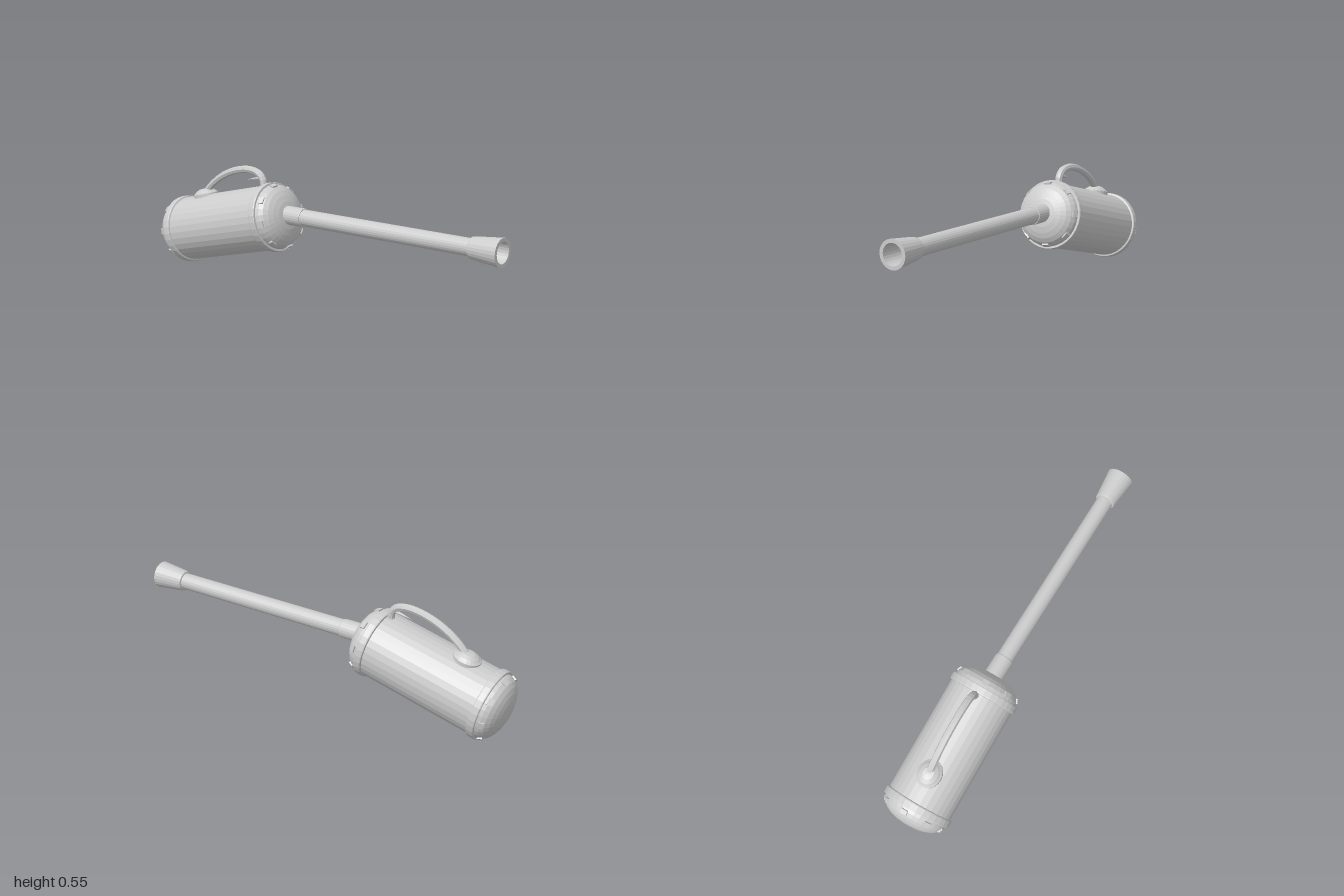
import * as THREE from 'three';

const SIDES = 32;
const material = new THREE.MeshStandardMaterial({ color: 0xcccccc, flatShading: true });

function part(name, geometry, parent) {
  const mesh = new THREE.Mesh(geometry, material);
  mesh.name = name;
  parent.add(mesh);
  return mesh;
}

// Turned part: profile of [radius, height], listed from bottom to top
function turned(profile, sides = SIDES) {
  return new THREE.LatheGeometry(profile.map(([r, y]) => new THREE.Vector2(r, y)), sides);
}

// End of the tank: rim band, dome and a ring of small lugs
function tankEnd(name) {
  const end = new THREE.Group();
  end.name = name;
  part('rim', turned([[0.16, 0.285], [0.171, 0.288], [0.173, 0.293], [0.173, 0.32], [0.171, 0.324], [0.157, 0.324]]), end);
  part('dome', turned([
    [0.162, 0.318], [0.157, 0.342], [0.145, 0.362], [0.125, 0.378],
    [0.1, 0.39], [0.07, 0.399], [0.035, 0.404], [0, 0.406],
  ]), end);
  for (let i = 0; i < 8; i++) {
    const pivot = new THREE.Group();
    pivot.rotation.y = (i / 8) * Math.PI * 2 + 0.1;
    const lug = part('lug', new THREE.BoxGeometry(0.014, 0.024, 0.034), pivot);
    lug.position.set(0.153, 0.347, 0);
    lug.rotation.z = 0.4;
    end.add(pivot);
  }
  return end;
}

export function createModel() {
  const model = new THREE.Group();
  model.name = 'sprayer';

  // Long straight tube with collar and open flared nozzle, running along z
  const lance = new THREE.Group();
  lance.name = 'lance';
  lance.position.y = 0.34;
  lance.rotation.x = Math.PI / 2;
  model.add(lance);
  part('tube', turned([[0.041, -0.25], [0.041, 0.87]], 24), lance);
  part('collar', turned([[0.046, -0.25], [0.046, -0.122], [0.044, -0.118], [0.04, -0.118]], 24), lance);
  part('nozzle', turned([
    [0.04, 0.842], [0.05, 0.845], [0.052, 0.855], [0.067, 1],
    [0.05, 1], [0.048, 0.87], [0, 0.87],
  ], 24), lance);

  // Tilted tank
  const tank = new THREE.Group();
  tank.name = 'tank';
  tank.position.set(0, 0.247, -0.605);
  tank.rotation.x = Math.PI / 2 - THREE.MathUtils.degToRad(13.4);
  model.add(tank);
  part('barrel', turned([[0.163, -0.31], [0.163, 0.31]]), tank);
  tank.add(tankEnd('frontEnd'));
  const back = tankEnd('backEnd');
  back.rotation.x = Math.PI;
  tank.add(back);

  // Boss where the handle meets the tank
  const boss = part('handleBoss', turned([
    [0.06, -0.02], [0.06, 0.006], [0.052, 0.012], [0.044, 0.02], [0.026, 0.03], [0, 0.033],
  ], 20), model);
  boss.scale.z = 1.15;
  boss.position.set(0, 0.373, -0.78);
  boss.rotation.x = -THREE.MathUtils.degToRad(13.4);

  // Arched handle
  const path = new THREE.CatmullRomCurve3([
    [0.44, -0.378], [0.495, -0.383], [0.525, -0.41], [0.538, -0.465], [0.53, -0.54],
    [0.5, -0.63], [0.452, -0.71], [0.4, -0.765], [0.36, -0.79],
  ].map(([y, z]) => new THREE.Vector3(0, y, z)));
  part('handle', new THREE.TubeGeometry(path, 30, 0.018, 8), model);

  // Small pointed trigger under the handle
  const trigger = part('trigger', new THREE.ConeGeometry(0.011, 0.1, 8), model);
  trigger.position.set(0, 0.496, -0.44);
  trigger.rotation.x = -Math.PI / 2 - 0.2;

  return model;
}
